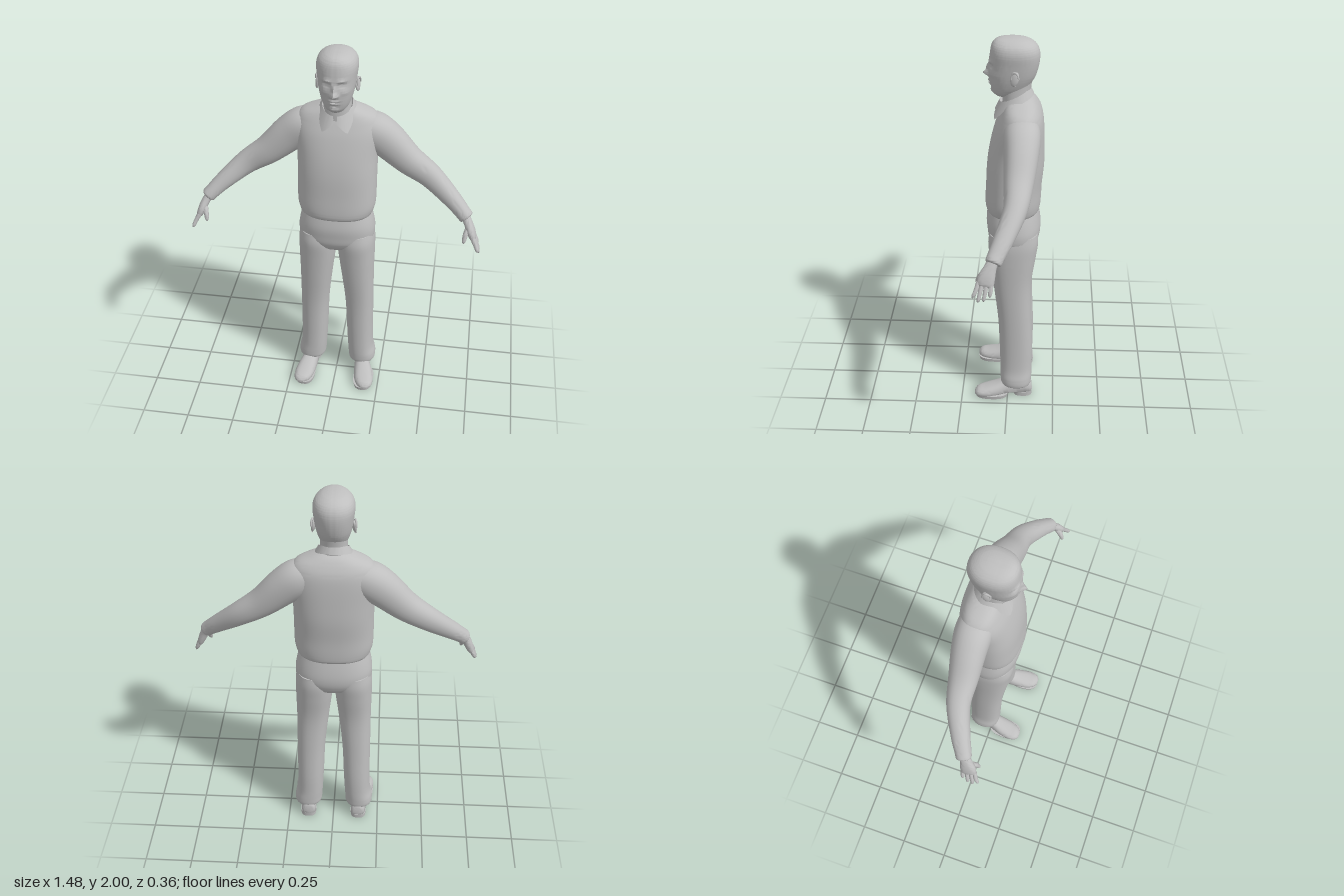
import * as THREE from 'three';
import { toCreasedNormals } from 'three/addons/utils/BufferGeometryUtils.js';

const grey = new THREE.MeshStandardMaterial({ color: 0xbfbfbf, side: THREE.DoubleSide });
grey.name = 'grey';
const Y = new THREE.Vector3(0, 1, 0), Z = new THREE.Vector3(0, 0, 1);

// Smooth interpolation through rows of key values
function sample(keys, sub) {
  const out = [], last = keys.length - 1;
  for (let i = 0; i < last; i++) {
    const k = [-1, 0, 1, 2].map(d => keys[Math.min(last, Math.max(0, i + d))]);
    for (let s = 0; s < sub; s++) {
      const t = s / sub;
      out.push(k[1].map((b, j) => {
        const a = k[0][j], c = k[2][j], d = k[3][j];
        return b + 0.5 * t * (c - a + t * (2 * a - 5 * b + 4 * c - d + t * (3 * (b - c) + d - a)));
      }));
    }
  }
  out.push(keys[last]);
  return out;
}

// Closed skin through key rings [x, y, z, side radius, front radius, back radius]
function loft(keys, { axis = null, up = Z, sub = 5, seg = 28, n = 2.2, shape = null } = {}) {
  const rows = sample(keys, sub), pos = [], idx = [];
  const centre = r => new THREE.Vector3(r[0], r[1], r[2]);
  rows.forEach((r, i) => {
    const t = axis || centre(rows[Math.min(i + 1, rows.length - 1)]).sub(centre(rows[Math.max(i - 1, 0)])).normalize();
    const v = up.clone().addScaledVector(t, -up.dot(t)).normalize();
    const u = t.clone().cross(v);
    for (let j = 0; j < seg; j++) {
      const a = j / seg * Math.PI * 2, c = Math.cos(a), s = Math.sin(a);
      const p = centre(r)
        .addScaledVector(u, Math.sign(c) * Math.abs(c) ** (2 / n) * r[3])
        .addScaledVector(v, Math.sign(s) * Math.abs(s) ** (2 / n) * (s > 0 ? r[4] : r[5]));
      if (shape) shape(p, s);
      pos.push(p.x, p.y, p.z);
      if (i < rows.length - 1) {
        const A = i * seg + j, B = i * seg + (j + 1) % seg;
        idx.push(A, A + seg, B, B, A + seg, B + seg);
      }
    }
  });
  const end = rows.length - 1, c0 = rows.length * seg;
  pos.push(...rows[0].slice(0, 3), ...rows[end].slice(0, 3));
  for (let j = 0; j < seg; j++) {
    const k = (j + 1) % seg;
    idx.push(c0, j, k, c0 + 1, end * seg + k, end * seg + j);
  }
  const g = new THREE.BufferGeometry();
  g.setAttribute('position', new THREE.Float32BufferAttribute(pos, 3));
  g.setIndex(idx);
  return toCreasedNormals(g, 0.9);
}

function add(parent, name, geometry) {
  const m = new THREE.Mesh(geometry, grey);
  m.name = name;
  parent.add(m);
  return m;
}

// Face relief: [x, y, width, height, depth], mirrored by |x|
const relief = [
  [0, 1.822, 0.013, 0.013, 0.026], [0, 1.85, 0.009, 0.022, 0.013], [0.015, 1.817, 0.008, 0.008, 0.008],
  [0.037, 1.868, 0.017, 0.011, -0.013], [0.037, 1.868, 0.009, 0.005, 0.007], [0.035, 1.891, 0.022, 0.007, 0.007],
  [0, 1.788, 0.02, 0.005, 0.008], [0, 1.781, 0.024, 0.0025, -0.006], [0, 1.773, 0.017, 0.005, 0.008],
  [0, 1.757, 0.02, 0.005, -0.005], [0, 1.735, 0.022, 0.012, 0.008], [0.055, 1.83, 0.02, 0.014, 0.005],
];
function sculptFace(p, s) {
  if (s <= 0) return;
  for (const [x, y, w, h, d] of relief)
    p.z += d * Math.min(1, s * 2) * Math.exp(-(((Math.abs(p.x) - x) / w) ** 2) - ((p.y - y) / h) ** 2);
}

// Shirt collar: a folded band whose lower edge drops to two points at the front
function collarGeometry() {
  const pos = [], idx = [], N = 56;
  for (let i = 0; i <= N; i++) {
    const a = 0.1 + i / N * (Math.PI * 2 - 0.2), s = Math.sin(a), c = Math.cos(a);
    const d = Math.min(a, Math.PI * 2 - a);
    const tip = Math.max(0, 1 - Math.abs(d - 0.62) / 0.5);
    const y = 1.712 - 0.037 * c;
    pos.push(0.066 * s, y - 0.012, -0.03 + 0.068 * c);
    pos.push(0.074 * s, y + 0.008, -0.03 + 0.076 * c);
    pos.push((0.094 + 0.012 * tip) * s, y - 0.028 - 0.05 * tip, -0.03 + (0.092 + 0.028 * tip) * c);
    if (i < N) for (let k = 0; k < 2; k++) {
      const q = i * 3 + k;
      idx.push(q, q + 1, q + 3, q + 3, q + 1, q + 4);
    }
  }
  const g = new THREE.BufferGeometry();
  g.setAttribute('position', new THREE.Float32BufferAttribute(pos, 3));
  g.setIndex(idx);
  return toCreasedNormals(g, 0.8);
}

// One arm, hand, leg and shoe on the +x side
function buildSide(name) {
  const side = new THREE.Group();
  side.name = name;
  add(side, 'sleeve', loft([
    [0.10, 1.585, -0.07, 0.07, 0.085, 0.08], [0.17, 1.56, -0.07, 0.092, 0.09, 0.09],
    [0.245, 1.505, -0.068, 0.09, 0.082, 0.085], [0.35, 1.41, -0.06, 0.074, 0.07, 0.073],
    [0.465, 1.33, -0.048, 0.06, 0.056, 0.058], [0.58, 1.237, 0, 0.045, 0.047, 0.047],
    [0.635, 1.187, 0.03, 0.038, 0.041, 0.041], [0.658, 1.164, 0.042, 0.036, 0.038, 0.038],
    [0.662, 1.16, 0.044, 0.025, 0.027, 0.027]]));
  add(side, 'palm', loft([
    [0.645, 1.178, 0.038, 0.022, 0.027, 0.027], [0.667, 1.145, 0.054, 0.021, 0.03, 0.028],
    [0.686, 1.105, 0.068, 0.021, 0.042, 0.036], [0.70, 1.072, 0.077, 0.016, 0.04, 0.038],
    [0.704, 1.062, 0.079, 0.007, 0.03, 0.03]], { seg: 20, n: 2.5 }));
  // four fingers fanned from the knuckles
  [[0.108, 0.132, 0.02], [0.089, 0.108, 0.003], [0.069, 0.083, 0.006], [0.05, 0.055, 0.024]].forEach(([z0, z1, short]) => {
    const x = 0.733 - short * 0.4, y = 1.006 + short;
    add(side, 'finger', loft([
      [0.695, 1.085, z0, 0.011, 0.011, 0.011], [0.715, 1.048, (z0 + z1) / 2, 0.0105, 0.0105, 0.0105],
      [x, y, z1, 0.008, 0.008, 0.008], [x + 0.003, y - 0.008, z1, 0.003, 0.003, 0.003]], { seg: 10, n: 2, sub: 3 }));
  });
  add(side, 'thumb', loft([
    [0.675, 1.13, 0.068, 0.014, 0.015, 0.015], [0.662, 1.1, 0.098, 0.013, 0.014, 0.014],
    [0.656, 1.067, 0.115, 0.01, 0.01, 0.01], [0.655, 1.055, 0.119, 0.004, 0.004, 0.004]], { seg: 10, n: 2, sub: 4 }));
  add(side, 'trouserLeg', loft([
    [0.142, 0.07, -0.047, 0.062, 0.068, 0.07], [0.142, 0.082, -0.047, 0.074, 0.082, 0.08],
    [0.14, 0.12, -0.045, 0.075, 0.084, 0.085], [0.132, 0.18, -0.045, 0.071, 0.085, 0.086],
    [0.127, 0.3, -0.045, 0.072, 0.088, 0.087], [0.122, 0.5, -0.04, 0.076, 0.092, 0.085],
    [0.111, 0.7, -0.03, 0.086, 0.105, 0.093], [0.103, 0.85, -0.028, 0.096, 0.12, 0.115],
    [0.1, 0.94, -0.027, 0.098, 0.128, 0.128], [0.1, 1.0, -0.027, 0.09, 0.12, 0.125]], { axis: Y, n: 2.3 }));
  // upper of the shoe, lofted from heel to toe
  add(side, 'shoe', loft([
    [0.138, 0.03, -0.132, 0.02, 0.03, 0.01], [0.139, 0.03, -0.12, 0.037, 0.06, 0.014],
    [0.142, 0.03, -0.06, 0.042, 0.08, 0.014], [0.149, 0.03, 0, 0.044, 0.072, 0.014],
    [0.161, 0.028, 0.06, 0.052, 0.05, 0.014], [0.171, 0.026, 0.12, 0.052, 0.034, 0.012],
    [0.177, 0.024, 0.16, 0.039, 0.026, 0.01], [0.18, 0.022, 0.178, 0.018, 0.012, 0.006]],
    { axis: Z, up: Y, n: 2.5, seg: 24 }));
  add(side, 'sole', loft([
    [0.166, 0, 0.085, 0.053, 0.09, 0.085], [0.166, 0.02, 0.085, 0.056, 0.094, 0.09]], { axis: Y, n: 2.5, sub: 1 }));
  add(side, 'heel', loft([
    [0.141, 0, -0.083, 0.042, 0.05, 0.05], [0.141, 0.026, -0.083, 0.043, 0.052, 0.052]], { axis: Y, n: 2.8, sub: 1 }));
  // ear with a raised rim
  const ear = add(side, 'ear', new THREE.SphereGeometry(1, 16, 12));
  ear.scale.set(0.01, 0.036, 0.021);
  ear.position.set(0.095, 1.825, -0.032);
  ear.rotation.set(-0.2, -0.3, 0.12);
  const rim = add(side, 'earRim', new THREE.TorusGeometry(0.024, 0.005, 8, 20, Math.PI * 1.5));
  rim.scale.set(0.75, 1.3, 1);
  rim.position.set(0.101, 1.827, -0.034);
  rim.rotation.set(0, Math.PI / 2 - 0.3, 0.1);
  return side;
}

export function createModel() {
  const man = new THREE.Group();
  man.name = 'standingMan';

  add(man, 'head', loft([
    [0, 1.705, 0.02, 0.02, 0.03, 0.05], [0, 1.718, 0.015, 0.043, 0.052, 0.075],
    [0, 1.74, 0.003, 0.062, 0.077, 0.09], [0, 1.775, -0.01, 0.076, 0.1, 0.098],
    [0, 1.82, -0.02, 0.087, 0.115, 0.112], [0, 1.88, -0.028, 0.095, 0.121, 0.119],
    [0, 1.93, -0.03, 0.099, 0.118, 0.118], [0, 1.965, -0.03, 0.088, 0.11, 0.102],
    [0, 1.987, -0.025, 0.062, 0.088, 0.076], [0, 1.997, -0.02, 0.033, 0.055, 0.045],
    [0, 2, -0.02, 0.008, 0.012, 0.012]], { axis: Y, sub: 10, seg: 96, shape: sculptFace }));
  add(man, 'neck', loft([
    [0, 1.6, -0.04, 0.075, 0.07, 0.07], [0, 1.68, -0.035, 0.069, 0.066, 0.07],
    [0, 1.75, -0.035, 0.066, 0.065, 0.073], [0, 1.82, -0.035, 0.066, 0.06, 0.085]], { axis: Y }));
  add(man, 'collar', collarGeometry());

  // sweater body with a gathered hem
  add(man, 'sweater', loft([
    [0, 1.108, -0.022, 0.165, 0.115, 0.125], [0, 1.113, -0.022, 0.18, 0.13, 0.135],
    [0, 1.135, -0.022, 0.19, 0.138, 0.14], [0, 1.175, -0.022, 0.198, 0.139, 0.143],
    [0, 1.25, -0.025, 0.199, 0.138, 0.143], [0, 1.36, -0.035, 0.199, 0.142, 0.143],
    [0, 1.46, -0.05, 0.202, 0.142, 0.128], [0, 1.56, -0.06, 0.212, 0.126, 0.114],
    [0, 1.62, -0.065, 0.204, 0.108, 0.1], [0, 1.66, -0.065, 0.176, 0.09, 0.082],
    [0, 1.69, -0.06, 0.11, 0.07, 0.065], [0, 1.705, -0.055, 0.07, 0.05, 0.05]], { axis: Y, n: 2.4, seg: 48 }));
  // trouser seat joining both legs
  add(man, 'trouserSeat', loft([
    [0, 0.885, -0.027, 0.05, 0.06, 0.065], [0, 0.905, -0.027, 0.12, 0.1, 0.105],
    [0, 0.95, -0.027, 0.185, 0.128, 0.13], [0, 1.0, -0.027, 0.197, 0.136, 0.138],
    [0, 1.06, -0.024, 0.19, 0.136, 0.135], [0, 1.14, -0.022, 0.17, 0.12, 0.12]], { axis: Y, n: 2.4, seg: 40 }));

  const left = buildSide('leftSide'), right = buildSide('rightSide');
  right.scale.x = -1;
  man.add(left, right);
  return man;
}
